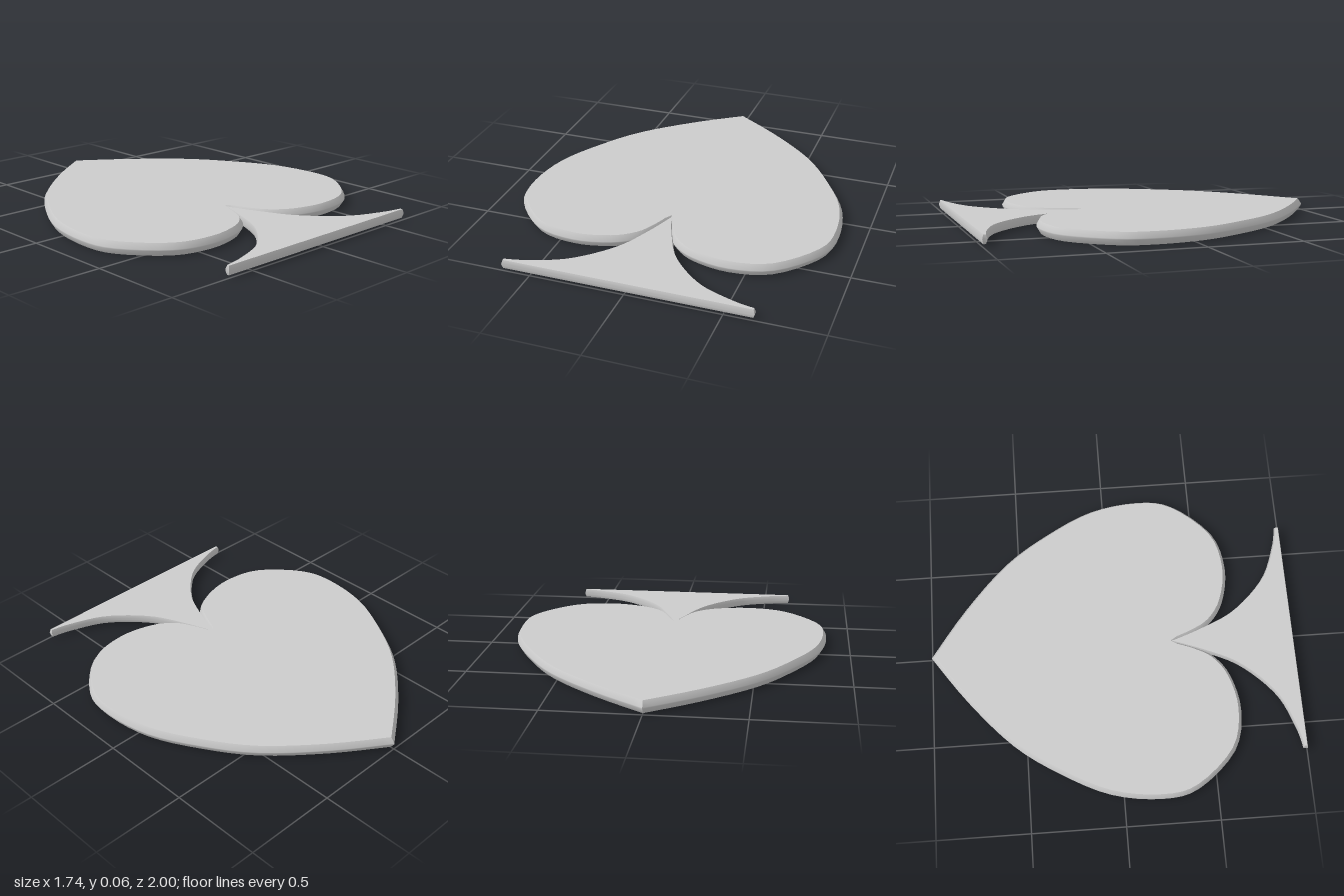
import * as THREE from 'three';
import { toCreasedNormals } from 'three/addons/utils/BufferGeometryUtils.js';

const material = new THREE.MeshStandardMaterial({ color: 0xcccccc });

// Flat plate lying on its back: half outline as [x, z] from the rear tip forwards, mirrored across x = 0
function plate(name, half, bottom, top, bevelSize) {
  const right = half.map(([x, z]) => new THREE.Vector2(x, -z));
  const left = right.filter((p) => p.x > 1e-6).reverse().map((p) => new THREE.Vector2(-p.x, p.y));
  const depth = 0.006;
  const bevelThickness = (top - bottom - depth) / 2;
  const geometry = new THREE.ExtrudeGeometry(new THREE.Shape([...right, ...left]), {
    depth, bevelThickness, bevelSize, bevelOffset: -bevelSize, bevelSegments: 1,
  });
  geometry.rotateX(-Math.PI / 2);
  geometry.translate(0, bottom + bevelThickness, 0);
  const mesh = new THREE.Mesh(toCreasedNormals(geometry, 0.8), material);
  mesh.name = name;
  return mesh;
}

// Smooth run of points through a few control points
function smooth(points, divisions) {
  const curve = new THREE.SplineCurve(points.map(([x, z]) => new THREE.Vector2(x, z)));
  return curve.getPoints(divisions).map((p) => [p.x, p.y]);
}

export function createModel() {
  const group = new THREE.Group();
  group.name = 'spade';

  // Inverted heart with a bevelled rim
  const heart = smooth([
    [0, -1], [0.27, -0.805], [0.53, -0.57], [0.70, -0.33], [0.83, -0.07], [0.872, 0.2], [0.83, 0.4],
    [0.64, 0.61], [0.42, 0.667], [0.22, 0.63], [0.1, 0.55], [0.04, 0.45], [0, 0.345],
  ], 48);
  group.add(plate('heartBlade', heart, 0, 0.065, 0.018));

  // Flared foot, slightly thinner, its point tucked into the notch
  const foot = smooth([
    [0, 0.31], [0.07, 0.5], [0.165, 0.69], [0.34, 0.865], [0.53, 0.948], [0.652, 0.976],
  ], 24);
  group.add(plate('flaredStem', [...foot, [0.652, 1]], 0.011, 0.058, 0.006));

  return group;
}
